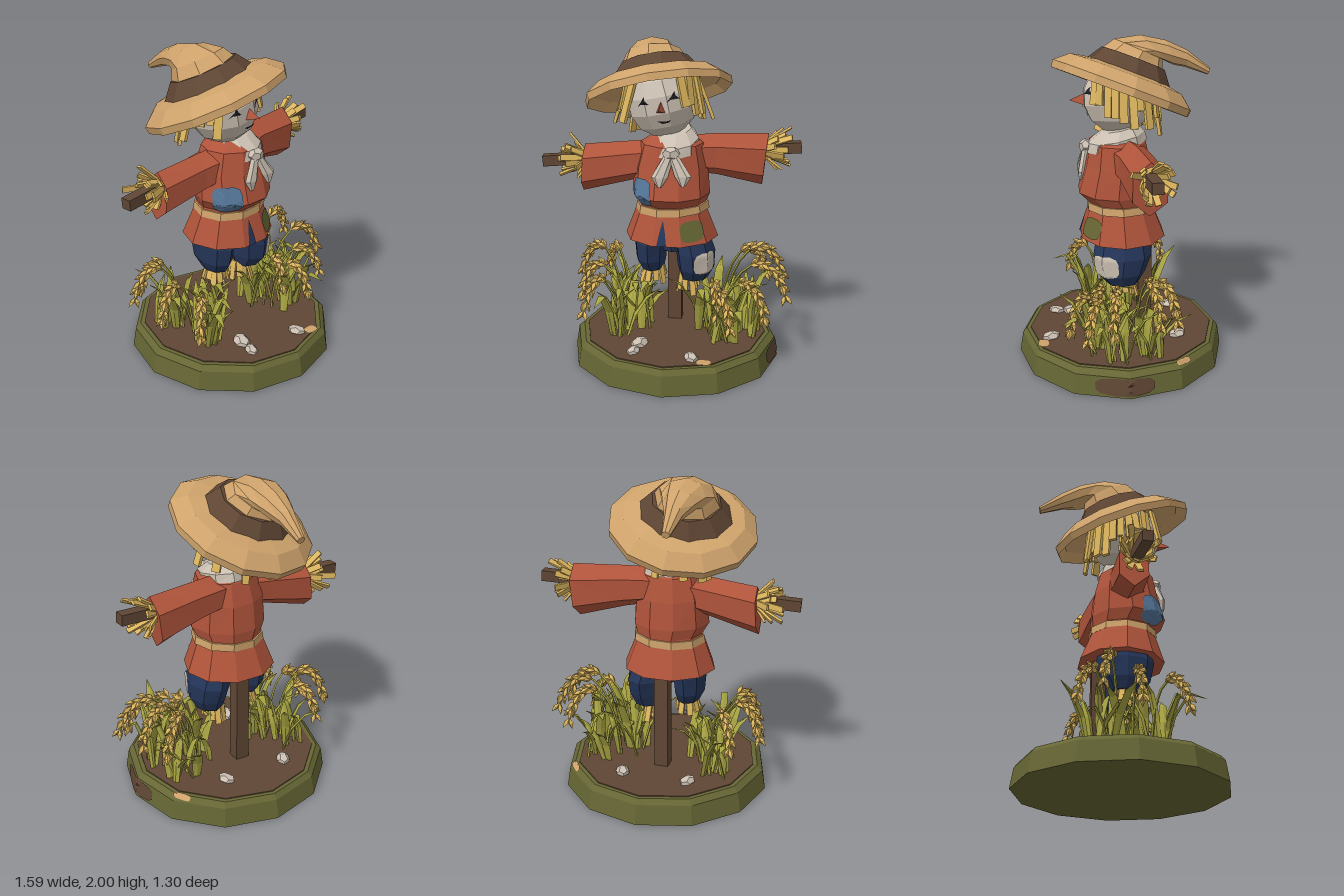
import * as THREE from 'three';
import { mergeGeometries } from 'three/addons/utils/BufferGeometryUtils.js';

const V = (x, y, z) => new THREE.Vector3(x, y, z);

export function createModel() {
  const model = new THREE.Group();
  model.name = 'scarecrow';
  let seed = 7;
  const rand = (a = 0, b = 1) => {
    seed = (seed * 16807) % 2147483647;
    return a + (b - a) * (seed / 2147483647);
  };

  const paint = (name, color) => {
    const m = new THREE.MeshStandardMaterial({ color, flatShading: true });
    m.name = name;
    return m;
  };
  const hatTan = paint('hatTan', 0xcea26b);
  const straw = paint('straw', 0xdcb55e);
  const wood = paint('brown', 0x5f4634);
  const rust = paint('rust', 0xb0543b);
  const denim = paint('denim', 0x25365a);
  const patchBlue = paint('patchBlue', 0x56779a);
  const cloth = paint('cloth', 0xcbc0b2);
  const leaf = paint('leafGreen', 0xa5a141);
  const moss = paint('moss', 0x666635);
  const dark = paint('dark', 0x1f1c22);

  const add = (name, geometry, material) => {
    const mesh = new THREE.Mesh(geometry, material);
    mesh.name = name;
    model.add(mesh);
    return mesh;
  };

  // Closed skin over elliptical rings: [x, y, z, rx, rz, tiltX, tiltZ]
  const loft = (rings, sides) => {
    const pos = [], idx = [], n = rings.length;
    for (const [x, y, z, rx, rz, tx = 0, tz = 0] of rings) {
      const e = new THREE.Euler(tx, 0, tz);
      for (let j = 0; j < sides; j++) {
        const a = (j / sides) * Math.PI * 2;
        const p = V(rx * Math.cos(a), 0, rz * Math.sin(a)).applyEuler(e);
        pos.push(p.x + x, p.y + y, p.z + z);
      }
    }
    for (const r of [rings[0], rings[n - 1]]) pos.push(r[0], r[1], r[2]);
    const c0 = n * sides, top = (n - 1) * sides;
    for (let j = 0; j < sides; j++) {
      const k = (j + 1) % sides;
      for (let i = 0; i < n - 1; i++) {
        const a = i * sides + j, c = i * sides + k;
        idx.push(a, a + sides, c, c, a + sides, c + sides);
      }
      idx.push(c0, j, k, c0 + 1, top + k, top + j);
    }
    const g = new THREE.BufferGeometry();
    g.setAttribute('position', new THREE.Float32BufferAttribute(pos, 3));
    g.setIndex(idx);
    g.computeVertexNormals();
    return g;
  };

  // Flat bar from a start point along a direction, its face turned to "out"
  const strip = (start, dir, out, len, w, d) => {
    const y = dir.clone().normalize();
    const x = y.clone().cross(out).normalize();
    const m = new THREE.Matrix4().makeBasis(x, y, x.clone().cross(y));
    m.setPosition(start.clone().addScaledVector(y, len / 2));
    return new THREE.BoxGeometry(w, len, d).applyMatrix4(m);
  };

  // Bundle of straw fanning out around an axis
  const tuft = (name, c, axis, count, radius, spread, len) => {
    const p = axis.clone().cross(V(0.1, 0.2, 1)).normalize(), q = axis.clone().cross(p).normalize();
    const bits = [];
    for (let i = 0; i < count; i++) {
      const a = (i / count) * Math.PI * 2 + rand(-0.2, 0.2);
      const d = p.clone().multiplyScalar(Math.cos(a)).addScaledVector(q, Math.sin(a));
      const dir = axis.clone().normalize().addScaledVector(d, spread * rand(0.2, 1.3));
      bits.push(strip(c.clone().addScaledVector(d, radius), dir, d, len * rand(0.65, 1.15), 0.036, 0.014));
    }
    add(name, mergeGeometries(bits), straw);
  };

  // Thin patch projected on a mesh, seen from direction w
  const decal = (name, material, target, c, w, outline, lift = 0.008) => {
    w.normalize();
    const u = (w.y > 0.9 ? V(0, 0, -1) : V(0, 1, 0)).cross(w).normalize(), v = w.clone().cross(u);
    const ray = new THREE.Raycaster(), pos = [], idx = [], n = outline.length, rings = 5;
    const drop = (a, b) => {
      const p = c.clone().addScaledVector(u, a).addScaledVector(v, b);
      ray.set(p.clone().addScaledVector(w, 0.5), w.clone().negate());
      const hit = ray.intersectObject(target)[0];
      pos.push(...(hit ? hit.point : p).clone().addScaledVector(w, lift).toArray());
    };
    const mu = outline.reduce((s, p) => s + p[0], 0) / n, mv = outline.reduce((s, p) => s + p[1], 0) / n;
    drop(mu, mv);
    for (let r = 1; r <= rings; r++)
      for (const [a, b] of outline) drop(mu + ((a - mu) * r) / rings, mv + ((b - mv) * r) / rings);
    for (let j = 0; j < n; j++) {
      const k = (j + 1) % n;
      idx.push(0, 1 + j, 1 + k);
      for (let r = 0; r < rings - 1; r++) {
        const a = 1 + r * n + j, b = 1 + r * n + k;
        idx.push(a, a + n, b, b, a + n, b + n);
      }
    }
    const g = new THREE.BufferGeometry();
    g.setAttribute('position', new THREE.Float32BufferAttribute(pos, 3));
    g.setIndex(idx);
    g.computeVertexNormals();
    add(name, g, material);
  };
  const blob = (a, b, n = 16) => Array.from({ length: n }, (_, i) => {
    const t = (i / n) * Math.PI * 2, r = 1 + 0.08 * Math.cos(4 * t + 3);
    return [a * r * Math.cos(t), b * r * Math.sin(t)];
  });

  // Ground
  const base = add('mossBase', loft([[0.035, 0, 0, 0.655, 0.65], [0.035, 0.125, 0, 0.635, 0.63], [0.035, 0.157, 0, 0.6, 0.605]], 12), moss);
  add('soil', loft([[0.035, 0.12, 0, 0.575, 0.585], [0.035, 0.163, 0, 0.572, 0.58]], 12), wood);
  decal('earthPatch', wood, base, V(0.68, 0.068, 0.027), V(1, 0, 0.013), blob(0.19, 0.058));
  decal('dryPatch', hatTan, base, V(0.53, 0.145, -0.335), V(0.5, 0.8, -0.33), blob(0.06, 0.022));
  decal('dryPatchFront', hatTan, base, V(0.27, 0.15, 0.5), V(0, 1, 0), blob(0.045, 0.035), 0.0095);
  for (const [x, z, r] of [[0.19, 0.45, 0.05], [-0.17, 0.41, 0.045], [0.22, -0.34, 0.05], [-0.15, 0.3, 0.06], [-0.2, -0.34, 0.05]])
    add('stone', new THREE.DodecahedronGeometry(r, 0).scale(0.85, 0.6, 1.2).rotateY(x * 2).translate(x, 0.17, z), cloth);

  // Wooden frame
  add('post', new THREE.BoxGeometry(0.088, 0.77, 0.085).translate(0.015, 0.535, -0.15), wood);
  const barA = V(-0.79, 1.245, 0.03), barB = V(0.79, 1.345, -0.135);
  add('crossbar', strip(barA, barB.clone().sub(barA), V(0, 0, 1), barA.distanceTo(barB), 0.066, 0.066), wood);
  add('neck', new THREE.CylinderGeometry(0.06, 0.06, 0.2, 6).translate(0.02, 1.44, 0), wood);

  // Trousers
  add('rightLeg', loft([[-0.11, 0.57, 0, 0.07, 0.1], [-0.12, 0.64, 0, 0.095, 0.15], [-0.12, 0.76, 0, 0.105, 0.175], [-0.1, 0.87, 0, 0.1, 0.15]], 8), denim);
  const leg = add('leftLeg', loft([[0.155, 0.515, 0, 0.085, 0.1], [0.165, 0.59, 0.01, 0.115, 0.15], [0.16, 0.7, 0, 0.125, 0.18], [0.12, 0.87, 0, 0.105, 0.15]], 8), denim);
  add('seat', loft([[0.02, 0.7, -0.01, 0.08, 0.1], [0.02, 0.86, -0.01, 0.18, 0.15]], 8), denim);
  decal('kneePatch', cloth, leg, V(0.235, 0.65, 0.115), V(0.85, 0, 1), blob(0.095, 0.078));
  tuft('rightAnkleStraw', V(-0.1, 0.6, 0), V(0, -1, 0), 10, 0.05, 0.3, 0.12);
  tuft('leftAnkleStraw', V(0.115, 0.54, -0.01), V(0, -1, 0), 10, 0.05, 0.3, 0.125);

  // Shirt with flared hem, sleeves and belt
  const shirt = add('shirt', loft([
    [0.01, 0.79, -0.01, 0.29, 0.27], [0.01, 0.97, 0, 0.22, 0.205], [0.015, 1.015, 0, 0.208, 0.2],
    [0.01, 1.08, 0.03, 0.24, 0.238], [0.01, 1.25, 0.015, 0.225, 0.205], [0.015, 1.39, 0.02, 0.19, 0.175], [0.02, 1.45, 0.01, 0.1, 0.1],
  ], 10), rust);
  const H = Math.PI / 2;
  add('leftSleeve', loft([[0.08, 1.31, -0.02, 0.11, 0.13, 0, -H], [0.28, 1.3, -0.07, 0.13, 0.115, 0, -H], [0.575, 1.265, -0.12, 0.165, 0.115, 0, -H - 0.1]], 6), rust);
  add('rightSleeve', loft([[-0.07, 1.29, 0.01, 0.11, 0.13, 0, H], [-0.25, 1.255, 0, 0.125, 0.11, 0, H], [-0.54, 1.2, -0.01, 0.15, 0.1, 0, H - 0.06]], 6), rust);
  add('belt', loft([[0.015, 0.965, 0, 0.23, 0.213, 0, 0.04], [0.015, 1.012, 0, 0.222, 0.211, 0, 0.04]], 10), hatTan);
  decal('shirtPatch', patchBlue, shirt, V(-0.15, 1.105, 0.17), V(-0.5, 0, 1), blob(0.092, 0.095), 0.0095);
  decal('hemPatch', moss, shirt, V(0.165, 0.875, 0.2), V(0.5, 0, 1), blob(0.085, 0.066));
  decal('hemSlit', denim, shirt, V(-0.02, 0.87, 0.2), V(0, 0, 1), [[-0.03, -0.075], [0, -0.077], [0.03, -0.075], [0.02, 0], [0.005, 0.075], [-0.015, 0]]);
  const along = barB.clone().sub(barA).normalize();
  for (const [count, radius, spread, len] of [[12, 0.04, 1.1, 0.14], [9, 0.036, 0.45, 0.17]]) {
    tuft('leftHandStraw', V(0.565, 1.325, -0.12), along, count, radius, spread, len);
    tuft('rightHandStraw', V(-0.525, 1.26, 0), along.clone().negate(), count, radius, spread, len);
  }

  // Neck scarf
  add('scarf', loft([[0.03, 1.365, 0.03, 0.15, 0.195, 0.2], [0.03, 1.42, 0.03, 0.148, 0.178, 0.2], [0.03, 1.475, 0.01, 0.1, 0.11, 0.2]], 9), cloth);
  add('scarfKnot', new THREE.DodecahedronGeometry(0.048, 0).scale(1.15, 0.9, 0.8).translate(0.035, 1.365, 0.215), cloth);
  for (const [tip, low] of [[-0.03, 1.165], [0.11, 1.175]])
    add('scarfTail', loft([[tip, low, 0.25, 0.012, 0.01], [tip, low + 0.06, 0.245, 0.05, 0.02], [0.035, 1.38, 0.21, 0.025, 0.02]], 6), cloth);

  // Head and face
  const head = add('head', new THREE.SphereGeometry(0.222, 10, 7).rotateZ(0.2).translate(-0.05, 1.643, 0.01), cloth);
  for (const [x, y] of [[-0.13, 1.66], [0.045, 1.695]])
    decal('eye', dark, head, V(x, y, 0.2), V(0, 0, 1), [[-0.036, -0.03], [-0.016, -0.012], [0.036, -0.008], [0.012, 0.012], [0.004, 0.036], [-0.008, 0.012]]);
  decal('mouth', dark, head, V(-0.008, 1.547, 0.18), V(0, 0, 1), [[-0.042, 0.006], [-0.01, -0.01], [0.03, 0], [0.042, 0.016], [0.02, 0.008], [-0.01, 0.006]]);
  add('nose', new THREE.ConeGeometry(0.055, 0.12, 3).rotateY(Math.PI).rotateX(H - 0.05).scale(0.75, 1.1, 1).translate(-0.025, 1.63, 0.245), rust);

  // Straw hair under the brim
  const hair = [];
  for (let i = 0; i < 24; i++) {
    const a = 0.7 + (i / 23) * (Math.PI * 2 - 1.4);
    const out = V(Math.sin(a), 0, Math.cos(a));
    const s = V(-0.055, 1.75, -0.01).addScaledVector(out, i % 2 ? 0.22 : 0.2);
    s.y += 0.2 * s.x + 0.36 * s.z + 0.01;
    const splay = rand(0.15, 0.4);
    hair.push(strip(s, V(out.x * splay, -1, out.z * splay * 0.5), out, rand(0.15, 0.28), rand(0.038, 0.052), 0.02));
  }
  add('hair', mergeGeometries(hair), straw);

  // Floppy hat
  const brim = [[0.18, -0.02], [0.39, -0.055], [0.445, -0.11], [0.45, -0.065], [0.365, 0.005], [0.2, 0.035]].map(p => new THREE.Vector2(...p));
  const tx = -0.38, tz = 0.2;
  add('hatBrim', new THREE.LatheGeometry(brim, 12).applyMatrix4(new THREE.Matrix4().makeRotationFromEuler(new THREE.Euler(tx, 0, tz))).translate(-0.09, 1.762, -0.045), hatTan);
  add('hatBand', loft([[-0.1, 1.775, -0.055, 0.282, 0.27, tx, tz], [-0.113, 1.86, -0.085, 0.208, 0.205, tx, tz]], 10), wood);
  add('hatCrown', loft([
    [-0.115, 1.85, -0.08, 0.202, 0.2, tx, tz], [-0.125, 1.912, -0.12, 0.165, 0.16, -0.42, 0.15], [-0.13, 1.915, -0.21, 0.128, 0.115, -0.8, 0.08],
    [-0.13, 1.888, -0.31, 0.092, 0.08, -1.25], [-0.13, 1.85, -0.41, 0.055, 0.052, -1.7], [-0.13, 1.77, -0.55, 0.025, 0.022, -1.9],
  ], 8), hatTan);

  // Grain plants: blades in clumps, stalks with drooping ears
  for (const [cx, cz] of [[0.36, 0.16], [0.44, -0.15], [0.25, -0.03], [0.48, 0.05], [-0.3, 0.16], [-0.35, -0.16], [-0.2, 0.0]]) {
    const blades = [];
    for (let i = 0; i < 10; i++) {
      const h = rand(0.22, 0.43), b = rand(0.07, 0.22), w = rand(0.022, 0.034);
      const droop = i % 4 === 0 ? 0.75 : 1;
      const g = loft([[0, 0, 0, w * 0.7, 0.008], [0, h * 0.5, b * 0.25, w, 0.008, 0.3], [0, h * 0.85, b * 0.65, w * 0.8, 0.007, 0.5], [0, h * droop, b * 1.1, 0.002, 0.002, 0.7]], 4);
      blades.push(g.rotateY(i * 2.4 + cx).translate(cx + rand(-0.08, 0.08), 0.155, cz + rand(-0.08, 0.08)));
    }
    add('blades', mergeGeometries(blades), leaf);
  }
  const ears = [
    [0.74, 0.1, 0.66], [0.71, -0.18, 0.7], [0.6, -0.29, 0.66], [0.41, 0.34, 0.53], [0.32, 0.2, 0.55], [0.62, 0.24, 0.57],
    [-0.61, -0.19, 0.66], [-0.46, -0.32, 0.62], [-0.5, 0.31, 0.57], [-0.57, 0.03, 0.59],
  ];
  for (const [x, z, h] of ears) {
    const s = Math.sign(x), bx = s * 0.2 + x * 0.18, bz = z * 0.4;
    const curve = new THREE.CubicBezierCurve3(V(bx, 0.15, bz), V(bx + (x - bx) * 0.1, h * 1.1, bz), V(bx + (x - bx) * 0.8, h * 1.17, z * 0.85), V(x, h - 0.24, z));
    add('stalk', new THREE.TubeGeometry(curve, 10, 0.008, 4), leaf);
    const grains = [];
    for (let i = 0; i < 8; i++) {
      const t = 0.52 + i * 0.066, p = curve.getPoint(t), d = curve.getTangent(t);
      const q = new THREE.Quaternion().setFromUnitVectors(V(0, 1, 0), d);
      for (let k = 0; k < 3; k++) {
        const a = (k * 2 * Math.PI) / 3 + i;
        const g = new THREE.OctahedronGeometry(1, 0).scale(0.018, 0.04, 0.018).rotateX(0.5).translate(0, 0.01, 0.018).rotateY(a);
        grains.push(g.applyQuaternion(q).translate(p.x, p.y, p.z));
      }
    }
    add('grainEar', mergeGeometries(grains), straw);
  }
  return model;
}
